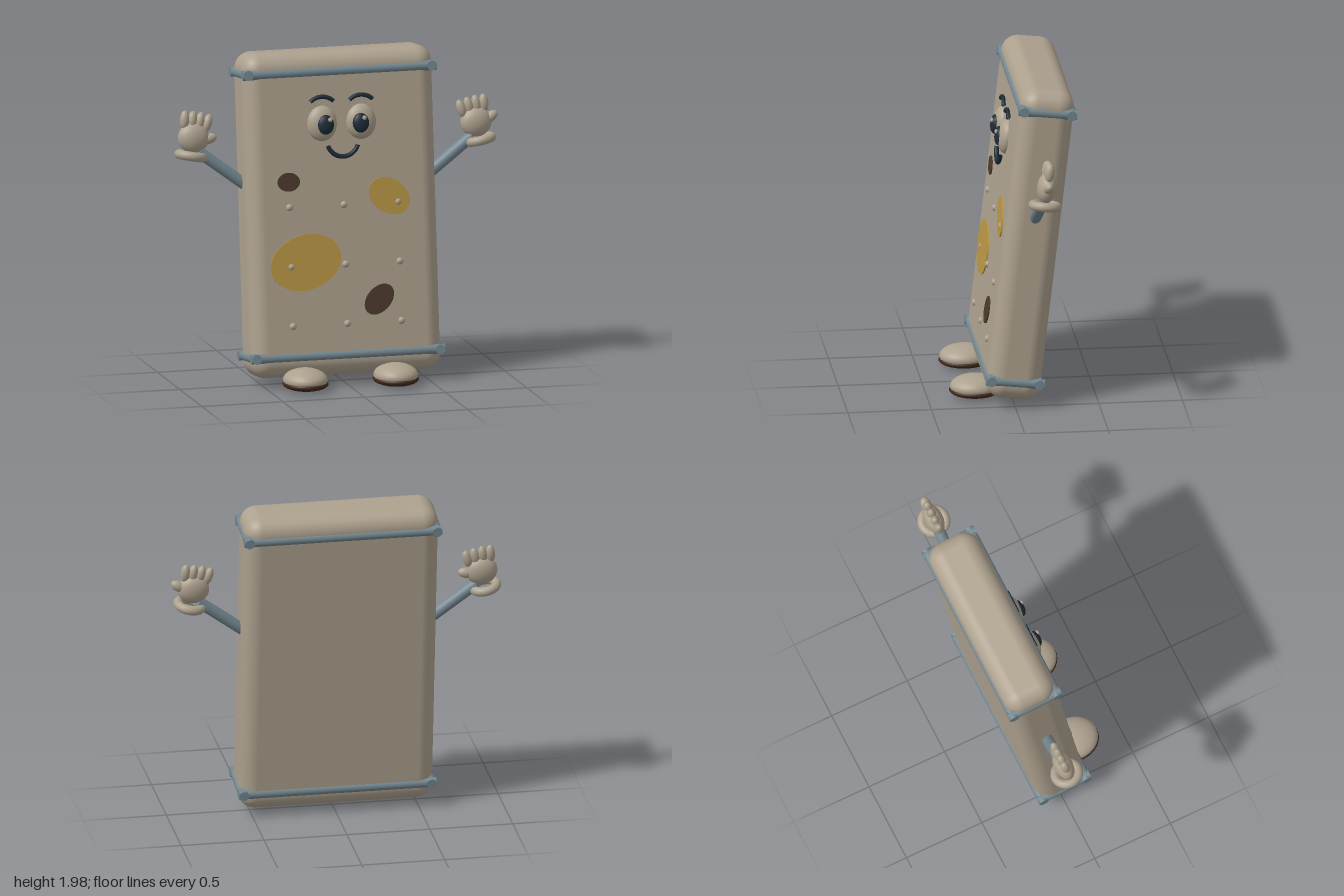
import * as THREE from 'three';
import { RoundedBoxGeometry } from 'three/addons/geometries/RoundedBoxGeometry.js';

const mat = (name, color, extra = {}) => new THREE.MeshStandardMaterial({ name, color, ...extra });

export function createModel() {
  const tan = mat('tan', 0xada18e);
  const steel = mat('steel blue', 0x73868f);
  const yellow = mat('mustard', 0xba9645);
  const brown = mat('brown', 0x4d3a2d);
  const soleBrown = mat('sole brown', 0x432a1c, { side: THREE.DoubleSide });
  const navy = mat('navy', 0x1d2c38, { side: THREE.DoubleSide });

  const model = new THREE.Group();
  model.name = 'model';
  model.position.x = -0.006;

  const add = (parent, name, geometry, material, x = 0, y = 0, z = 0) => {
    const mesh = new THREE.Mesh(geometry, material);
    mesh.name = name;
    mesh.position.set(x, y, z);
    parent.add(mesh);
    return mesh;
  };
  const ball = (parent, name, material, [x, y, z], [rx, ry, rz], turn = 0) => {
    const mesh = add(parent, name, new THREE.SphereGeometry(1, 32, 20), material, x, y, z);
    mesh.scale.set(rx, ry, rz);
    mesh.rotation.z = turn;
    return mesh;
  };
  // Straight round bar between two points
  const bar = (parent, name, material, a, b, radius) => {
    const from = new THREE.Vector3(...a), to = new THREE.Vector3(...b);
    const dir = to.clone().sub(from);
    const mesh = add(parent, name, new THREE.CylinderGeometry(radius, radius, dir.length(), 24), material);
    mesh.position.copy(from).add(to).multiplyScalar(0.5);
    mesh.quaternion.setFromUnitVectors(new THREE.Vector3(0, 1, 0), dir.normalize());
    return mesh;
  };

  // Everything but the feet leans back together
  const upper = new THREE.Group();
  upper.name = 'leaningBody';
  upper.position.set(0, 1.013, -0.0915);
  upper.rotation.x = -0.115;
  model.add(upper);

  // Body slab
  const front = 0.162;
  add(upper, 'body', new RoundedBoxGeometry(1.17, 1.94, front * 2, 8, 0.1), tan);

  // Square bands near the top and bottom
  const bx = 0.595, bz = 0.174, br = 0.03;
  for (const y of [0.847, -0.847]) {
    const band = new THREE.Group();
    band.name = y > 0 ? 'topBand' : 'bottomBand';
    upper.add(band);
    for (const s of [-1, 1]) {
      bar(band, 'bandLongBar', steel, [-bx, y, s * (bz - br)], [bx, y, s * (bz - br)], br);
      bar(band, 'bandShortBar', steel, [s * (bx - br), y, -bz], [s * (bx - br), y, bz], br);
    }
  }

  // Spots on the front: x, y, half width, half height, turn
  const spots = [
    ['largeYellowSpot', yellow, -0.245, -0.284, 0.22, 0.165, 0.26],
    ['smallYellowSpot', yellow, 0.279, 0.087, 0.135, 0.1, -0.61],
    ['upperBrownSpot', brown, -0.336, 0.2, 0.068, 0.056, 0],
    ['lowerBrownSpot', brown, 0.199, -0.527, 0.105, 0.073, 0.785],
  ];
  for (const [name, material, x, y, rx, ry, turn] of spots) {
    const disc = new THREE.CylinderGeometry(1, 1, 0.009, 48).rotateX(Math.PI / 2);
    const spot = add(upper, name, disc, material, x, y, front + 0.003);
    spot.scale.set(rx, ry, 1);
    spot.rotation.z = turn;
  }

  // Grid of studs
  for (const x of [-0.335, 0, 0.333])
    for (const y of [0.048, -0.307, -0.662])
      ball(upper, 'stud', tan, [x, y, front], [0.021, 0.021, 0.017]);

  // Eyes, pupils, glints and brows
  const arc = (name, radius, tube, half, mid, x, y, z) => {
    const mesh = add(upper, name, new THREE.TorusGeometry(radius, tube, 12, 32, half * 2), navy, x, y, z);
    mesh.rotation.z = mid - half;
  };
  for (const s of [-1, 1]) {
    const side = s > 0 ? 'left' : 'right';
    ball(upper, side + 'Eye', tan, [s * 0.12, 0.539, front], [0.091, 0.106, 0.052]);
    ball(upper, side + 'Pupil', navy, [s * 0.108, 0.534, front + 0.042], [0.05, 0.059, 0.028]);
    ball(upper, side + 'Glint', tan, [s * 0.105 + 0.02, 0.564, front + 0.066], [0.014, 0.014, 0.01]);
    arc(side + 'Brow', 0.104, 0.013, 0.75, Math.PI / 2, s * 0.12, 0.595, front + 0.012);
  }

  // Mouth
  arc('mouth', 0.096, 0.014, 1.25, -Math.PI / 2, 0, 0.433, front + 0.018);

  // Arms and hands; both thumbs point the same way
  for (const s of [-1, 1]) {
    const side = s > 0 ? 'left' : 'right';
    bar(upper, side + 'Arm', steel, [s * 0.55, 0.176, 0], [s * 0.84, 0.395, 0], 0.035);
    const hand = new THREE.Group();
    hand.name = side + 'Hand';
    hand.position.set(s * 0.869, 0.48, 0);
    hand.rotation.z = s * 0.19;
    upper.add(hand);
    ball(hand, 'palm', tan, [0, 0, 0], [0.095, 0.09, 0.057]);
    const cuff = add(hand, 'cuff', new THREE.TorusGeometry(0.071, 0.028, 16, 40), tan, 0, -0.108, 0);
    cuff.rotation.x = Math.PI / 2;
    for (let i = -1.5; i <= 1.5; i++)
      ball(hand, 'finger', tan, [i * 0.047, 0.104 - Math.abs(i) * 0.005, 0], [0.028, 0.057, 0.028], -i * 0.08);
    ball(hand, 'thumb', tan, [0.094, 0.008, 0], [0.05, 0.031, 0.031], 0.4);
  }

  // Feet: domed shoe on a shallow rounded sole
  for (const s of [-1, 1]) {
    const foot = new THREE.Group();
    foot.name = s > 0 ? 'leftFoot' : 'rightFoot';
    foot.position.set(s * 0.278, 0, 0.213);
    model.add(foot);
    const dome = new THREE.SphereGeometry(1, 36, 18, 0, Math.PI * 2, 0, Math.PI * 0.6);
    add(foot, 'shoe', dome, tan, 0, 0.062, 0).scale.set(0.132, 0.07, 0.15);
    ball(foot, 'sole', soleBrown, [0, 0.04, 0], [0.136, 0.04, 0.155]);
  }

  return model;
}
